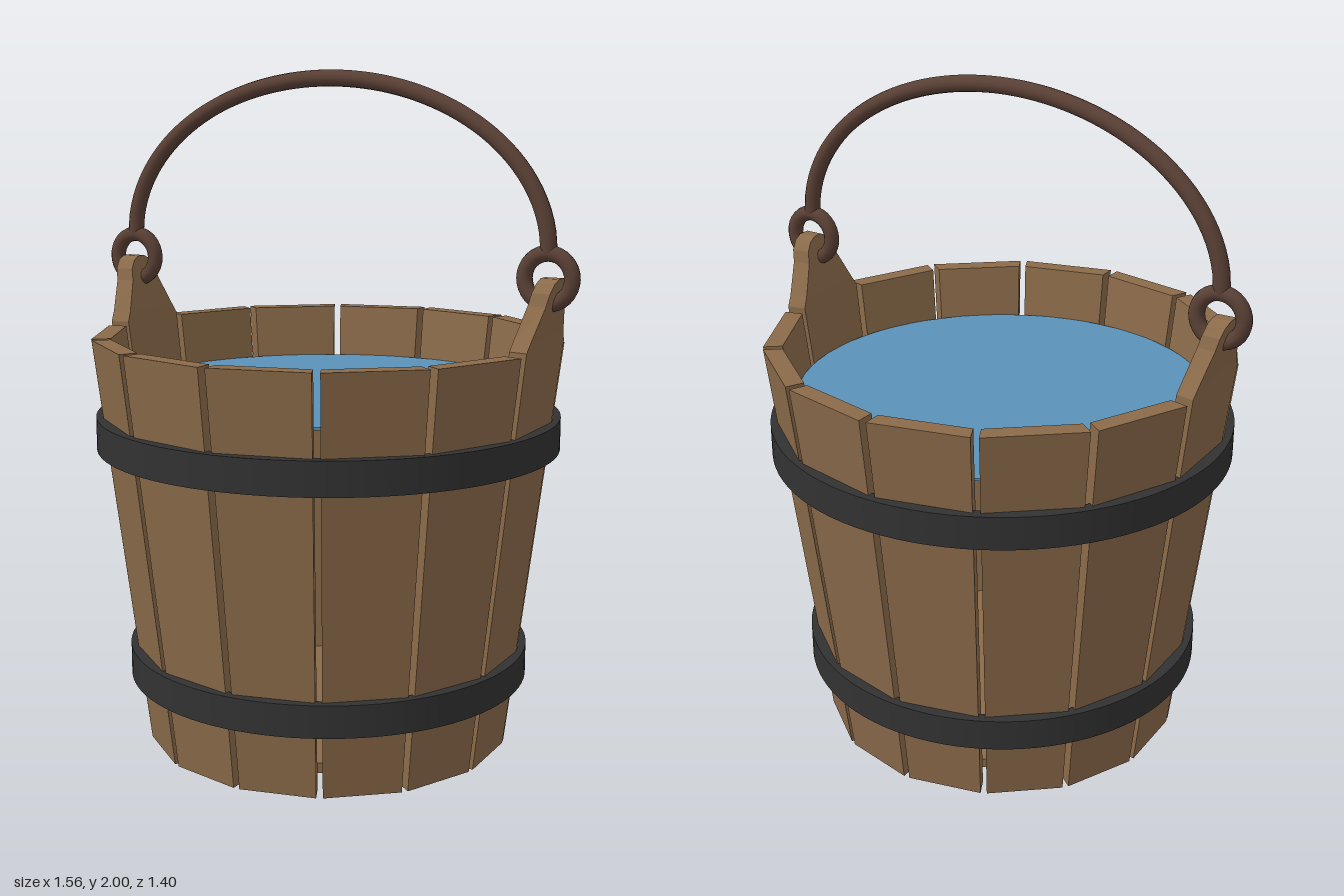
import * as THREE from 'three';

const COUNT = 14;
const THICK = 0.055;

// Lofts a stave from [height, outer radius, half width] sections, facing +z.
function staveGeometry(sections) {
  const pos = [], idx = [];
  for (const [y, r, w] of sections) {
    const ri = r - THICK, wi = w * ri / r;
    pos.push(-w, y, r, w, y, r, wi, y, ri, -wi, y, ri);
  }
  const last = sections.length - 1;
  for (let i = 0; i < last; i++) {
    for (let j = 0; j < 4; j++) {
      const a = i * 4 + j, b = i * 4 + (j + 1) % 4;
      idx.push(a, b, b + 4, a, b + 4, a + 4);
    }
  }
  const t = last * 4;
  idx.push(0, 2, 1, 0, 3, 2, t, t + 1, t + 2, t, t + 2, t + 3);
  const indexed = new THREE.BufferGeometry();
  indexed.setAttribute('position', new THREE.Float32BufferAttribute(pos, 3));
  indexed.setIndex(idx);
  const geo = indexed.toNonIndexed();
  geo.computeVertexNormals();
  return geo;
}

// Straight-sided band with square edges.
function hoopGeometry(y0, y1, inner, outer) {
  const shape = new THREE.Shape().absarc(0, 0, outer, 0, Math.PI * 2, false);
  shape.holes.push(new THREE.Path().absarc(0, 0, inner, 0, Math.PI * 2, true));
  const geo = new THREE.ExtrudeGeometry(shape, { depth: y1 - y0, bevelEnabled: false, curveSegments: 48 });
  geo.rotateX(-Math.PI / 2);
  geo.translate(0, y0, 0);
  // Radial normals on the walls, leaving the flat edges alone
  const p = geo.attributes.position, n = geo.attributes.normal;
  for (let i = 0; i < p.count; i++) {
    if (Math.abs(n.getY(i)) > 0.5) continue;
    const x = p.getX(i), z = p.getZ(i), l = Math.hypot(x, z);
    const s = l > (inner + outer) / 2 ? 1 : -1;
    n.setXYZ(i, s * x / l, 0, s * z / l);
  }
  return geo;
}

export function createModel() {
  const material = (name, color, flatShading = false) => {
    const m = new THREE.MeshStandardMaterial({ color, flatShading });
    m.name = name;
    return m;
  };
  const wood = material('wood', 0x8b6b4a, true);
  const iron = material('blackIron', 0x323232);
  const rust = material('brownIron', 0x5a4035);
  const blue = material('waterBlue', 0x5a92b8);

  const model = new THREE.Group();
  model.name = 'bucket';
  const add = (name, geo, mat, parent = model) => {
    const mesh = new THREE.Mesh(geo, mat);
    mesh.name = name;
    parent.add(mesh);
    return mesh;
  };

  // Ring of staves; the two on the x axis rise into lugs
  const staves = new THREE.Group();
  staves.name = 'staves';
  model.add(staves);
  const plain = staveGeometry([[0, 0.537, 0.113], [1.23, 0.685, 0.145]]);
  const lug = staveGeometry([
    [0, 0.537, 0.113], [1.24, 0.686, 0.145], [1.27, 0.691, 0.125], [1.36, 0.711, 0.075],
    [1.395, 0.719, 0.066], [1.42, 0.724, 0.045], [1.432, 0.727, 0.018],
  ]);
  for (let k = 0; k < COUNT; k++) {
    const tall = k % 7 === 3;
    const stave = add(tall ? 'lugStave' : 'stave', tall ? lug : plain, wood, staves);
    stave.rotation.y = (k + 0.5) * Math.PI * 2 / COUNT;
  }

  // Base board and water surface
  add('bottomBoard', new THREE.CylinderGeometry(0.492, 0.49, 0.03, 48), wood).position.y = 0.065;
  add('water', new THREE.CylinderGeometry(0.612, 0.612, 0.008, 64), blue).position.y = 1.066;

  // Iron hoops
  add('lowerHoop', hoopGeometry(0.2, 0.295, 0.57, 0.605), iron);
  add('upperHoop', hoopGeometry(0.9, 0.998, 0.655, 0.692), iron);

  // Rings through the lugs
  for (const side of [1, -1]) {
    add(side > 0 ? 'leftRing' : 'rightRing', new THREE.TorusGeometry(0.07, 0.023, 12, 32), rust)
      .position.set(side * 0.688, 1.43, 0);
  }

  // Arched handle
  const arch = [];
  for (let i = 0; i <= 24; i++) {
    const a = Math.PI * i / 24;
    arch.push(new THREE.Vector3(0.688 * Math.cos(a), 1.5 + 0.476 * Math.sin(a), 0));
  }
  add('handle', new THREE.TubeGeometry(new THREE.CatmullRomCurve3(arch), 64, 0.024, 12), rust);

  return model;
}
